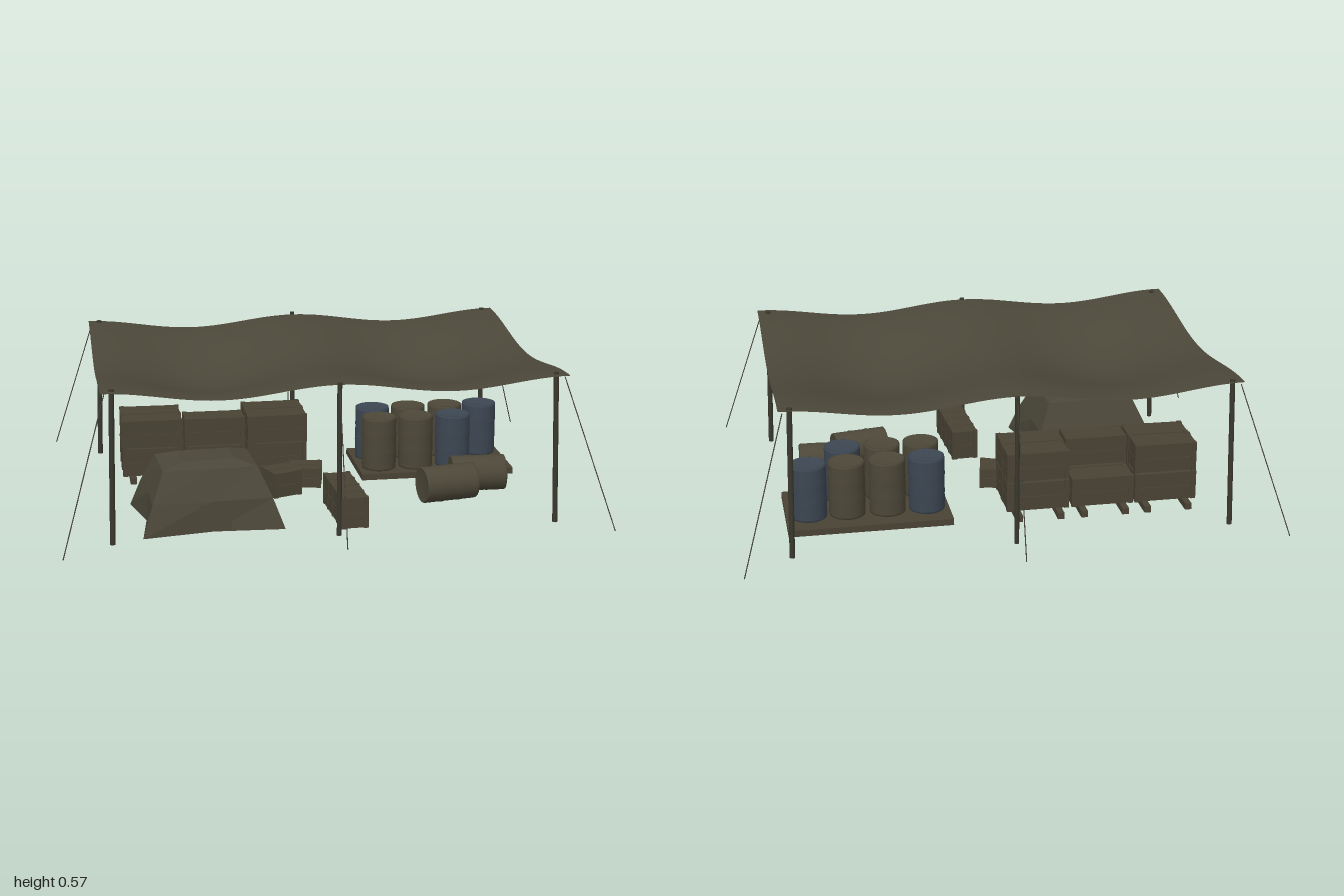
import * as THREE from 'three';

const mat = (name, color, extra = {}) => {
  const m = new THREE.MeshStandardMaterial({ color, ...extra });
  m.name = name;
  return m;
};

export function createModel() {
  const canvas = mat('canvas', 0x4b4739, { side: THREE.DoubleSide });
  const tentCloth = mat('tent cloth', 0x4a4638, { side: THREE.DoubleSide, flatShading: true });
  const wood = mat('wood', 0x494334);
  const poleMat = mat('pole', 0x3a382d);
  const ropeMat = mat('rope', 0x45423a);
  const drab = mat('drab drum', 0x4c4738);
  const blue = mat('blue drum', 0x3c4652);

  const root = new THREE.Group();
  root.name = 'supplyShelter';
  const add = (geo, material, name, parent = root) => {
    const m = new THREE.Mesh(geo, material);
    m.name = name;
    parent.add(m);
    return m;
  };
  const box = (w, h, d, x, y, z, material, name, parent) => {
    const m = add(new THREE.BoxGeometry(w, h, d), material, name, parent);
    m.position.set(x, y, z);
    return m;
  };
  const rod = (a, b, r, material, name) => {
    const p = new THREE.Vector3(...a), q = new THREE.Vector3(...b);
    const m = add(new THREE.CylinderGeometry(r, r, p.distanceTo(q), 8), material, name);
    m.position.copy(p).lerp(q, 0.5);
    m.quaternion.setFromUnitVectors(new THREE.Vector3(0, 1, 0), q.sub(p).normalize());
    return m;
  };

  // Sagging canopy: two bays across x, one long dip along z
  const roof = new THREE.PlaneGeometry(1.7, 1.18, 48, 32).rotateX(-Math.PI / 2).translate(0, 0, 0.01);
  const pos = roof.attributes.position;
  for (let i = 0; i < pos.count; i++) {
    const sx = Math.sin((Math.PI * pos.getX(i)) / 0.85) ** 2;
    const cz = Math.cos((Math.PI * (pos.getZ(i) - 0.01)) / 1.18) ** 2;
    pos.setY(i, 0.567 - 0.04 * sx - 0.056 * cz - 0.04 * sx * cz);
  }
  roof.computeVertexNormals();
  add(roof, canvas, 'canopy');

  // Poles and guy ropes
  for (const sz of [-1, 1]) {
    for (const sx of [-1, 1]) {
      rod([sx * 0.82, 0, sz * 0.572], [sx * 0.808, 0.572, sz * 0.56], 0.01, poleMat, 'cornerPole');
      rod([sx * 0.835, 0.56, sz * 0.58], [sx, 0.01, sz * 0.737], 0.002, ropeMat, 'cornerRope');
    }
    rod([0, 0, sz * 0.598], [0, 0.574, sz * 0.598], 0.009, poleMat, 'middlePole');
    rod([0, 0.565, sz * 0.6], [0, 0.01, sz * 0.78], 0.002, ropeMat, 'middleRope');
  }

  // Drums: lathe profile with rolled rims and two ribs
  const R = 0.07, H = 0.215;
  const profile = [[0, 0.006], [0.06, 0.006], [0.062, 0], [0.068, 0.002], [R - 0.001, 0.01]];
  for (const y of [0.072, 0.143]) profile.push([R - 0.001, y - 0.006], [R + 0.001, y], [R - 0.001, y + 0.006]);
  profile.push([R - 0.001, H - 0.01], [0.068, H - 0.002], [0.062, H], [0.06, H - 0.006], [0, H - 0.006]);
  const drumGeo = new THREE.LatheGeometry(profile.map((p) => new THREE.Vector2(...p)), 24).translate(0, -H / 2, 0);
  const drum = (x, y, z, material, name) => {
    const m = add(drumGeo, material, name);
    m.position.set(x, y, z);
    return m;
  };
  const standing = [
    [0.285, -0.122, drab], [0.435, -0.122, drab], [0.588, -0.122, blue],
    [0.285, -0.275, blue], [0.435, -0.275, drab], [0.588, -0.275, drab], [0.733, -0.275, blue],
  ];
  for (const [x, z, m] of standing) drum(x, 0.025 + H / 2, z, m, 'standingDrum');
  drum(0.48, 0.072, 0.265, drab, 'fallenDrum').rotation.set(0, 0.18, Math.PI / 2);
  drum(0.625, 0.071, 0.155, drab, 'fallenDrum').rotation.set(0, -0.05, Math.PI / 2);
  box(0.62, 0.025, 0.37, 0.51, 0.0125, -0.215, wood, 'drumPlatform');

  // Crate: inset core, two plank courses and corner posts
  const crate = (w, h, d, x, y, z, turn = 0, slats = 0) => {
    const g = new THREE.Group();
    g.name = 'crate';
    g.position.set(x, y, z);
    g.rotation.y = turn;
    root.add(g);
    box(w - 0.012, h - 0.004, d - 0.012, 0, h / 2, 0, wood, 'crateCore', g);
    for (const k of [0.25, 0.75]) box(w - 0.004, h * 0.47, d - 0.004, 0, h * k, 0, wood, 'cratePlanks', g);
    for (const sx of [-1, 1])
      for (const sz of [-1, 1])
        box(0.018, h, 0.018, sx * (w / 2 - 0.009), h / 2, sz * (d / 2 - 0.009), wood, 'cratePost', g);
    for (let i = 1; i <= slats; i++)
      box(w, h, 0.016, 0, h / 2, -d / 2 + (i * d) / (slats + 1), wood, 'crateSlat', g);
  };

  // Rear crate stacks on ground runners; the middle back stack is one course lower
  [-0.625, -0.378, -0.127].forEach((x, i) => {
    for (const [row, z] of [-0.318, -0.2].entries())
      for (let k = 0; k < (row === 0 && i === 1 ? 1 : 2); k++)
        crate(0.24, 0.114, 0.114, x, 0.025 + k * 0.116, z + k * 0.006, k * (i - 1) * 0.02);
    for (const o of [-0.08, 0.08]) box(0.025, 0.025, 0.3, x + o, 0.0125, -0.27, wood, 'runner');
  });

  // Small crates in the middle
  crate(0.105, 0.12, 0.32, 0.06, 0.003, 0.385, 0.05, 3);
  crate(0.12, 0.1, 0.12, -0.14, 0, 0.07, 0.35, 1);
  crate(0.13, 0.08, 0.12, -0.03, 0, -0.03, -0.2, 1);

  // Tent from eight-point rings: flared pegged corners, shoulders, roof and crown
  const rings = [
    { y: 0.008, x: 0.262, z: 0.205, pinch: 0.86 },
    { y: 0.12, x: 0.222, z: 0.17, pinch: 0.98 },
    { y: 0.228, x: 0.175, z: 0.115, pinch: 1 },
    { y: 0.25, x: 0.1, z: 0.07, pinch: 1 },
  ];
  const dirs = [[-1, 1], [0, 1], [1, 1], [1, 0], [1, -1], [0, -1], [-1, -1], [-1, 0]];
  const pts = [], idx = [];
  for (const r of rings)
    for (const [dx, dz] of dirs) {
      const k = dx * dz === 0 ? r.pinch : 1;
      pts.push(dx * r.x * k, r.y, dz * r.z * k);
    }
  for (let r = 0; r < rings.length - 1; r++)
    for (let i = 0; i < 8; i++) {
      const a = r * 8 + i, b = r * 8 + ((i + 1) % 8);
      idx.push(a, b, b + 8, a, b + 8, a + 8);
    }
  const top = (rings.length - 1) * 8;
  for (let i = 1; i < 7; i++) idx.push(top, top + i, top + i + 1);
  const tentGeo = new THREE.BufferGeometry();
  tentGeo.setAttribute('position', new THREE.Float32BufferAttribute(pts, 3));
  tentGeo.setIndex(idx);
  tentGeo.computeVertexNormals();
  const tent = add(tentGeo, tentCloth, 'tent');
  tent.position.set(-0.46, 0, 0.335);
  tent.rotation.y = 0.06;

  // Door flap on the tent front
  const flap = new THREE.Shape([[-0.07, 0], [0.07, 0], [0.05, 0.1], [-0.05, 0.1]].map((p) => new THREE.Vector2(...p)));
  const door = add(new THREE.ShapeGeometry(flap), tentCloth, 'tentDoor', tent);
  door.position.set(0, 0.012, 0.182);
  door.rotation.x = -0.09;

  return root;
}
